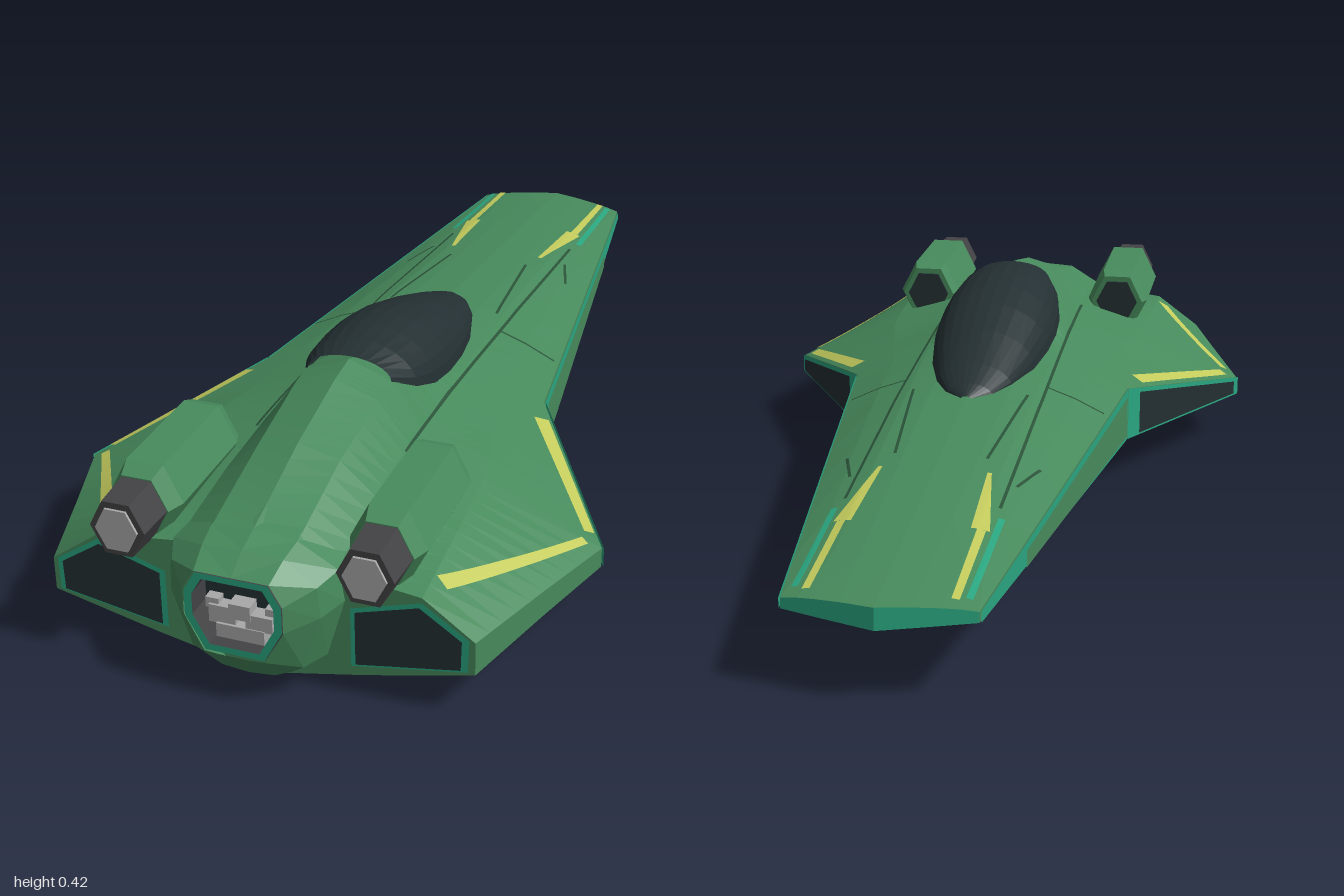
import * as THREE from 'three';

const mat = (name, color) => new THREE.MeshStandardMaterial({ name, color, flatShading: true, side: THREE.DoubleSide });
const M = {
  green: mat('hull green', 0x478a5c), glass: mat('dark glass', 0x243033), teal: mat('teal trim', 0x2aa680),
  yellow: mat('yellow stripe', 0xc3cb5c), dark: mat('dark metal', 0x434345), light: mat('light metal', 0xa9a9a9),
  seam: mat('panel seam', 0x2a5238),
};
const lerp = THREE.MathUtils.lerp;

// Half cross-sections of the hull: top centre, out to the rim, back to the keel
const HULL = [
  { z: -1, p: [[0, .182], [.06, .181], [.11, .178], [.14, .175], [.17, .17], [.17, .15], [.09, .145], [0, .14]] },
  { z: -.15, p: [[0, .275], [.08, .27], [.13, .262], [.2, .237], [.265, .203], [.265, .1135], [.13, .065], [0, .045]] },
  { z: .15, p: [[0, .3], [.08, .295], [.14, .28], [.22, .25], [.3, .215], [.3, .1], [.15, .045], [0, .022]] },
  { z: .3, p: [[0, .36], [.12, .315], [.15, .285], [.25, .245], [.389, .185], [.389, .1], [.2, .05], [0, .012]] },
  { z: .45, p: [[0, .408], [.09, .372], [.145, .29], [.28, .245], [.478, .154], [.478, .1], [.26, .055], [0, .002]] },
  { z: .52, p: [[0, .4], [.085, .37], [.145, .29], [.29, .243], [.52, .14], [.52, .1], [.28, .055], [0, 0]] },
  { z: .7, p: [[0, .362], [.08, .34], [.145, .28], [.3, .238], [.462, .148], [.462, .096], [.25, .048], [0, 0]] },
  { z: .9, p: [[0, .3], [.08, .29], [.15, .245], [.305, .226], [.4, .156], [.4, .09], [.2, .042], [0, 0]] },
];
const noseBend = x => .04 * x / .17;

function mesh(name, geo, material, parent) {
  const m = new THREE.Mesh(geo, material);
  m.name = name;
  parent.add(m);
  return m;
}

// Surface from a grid of points
function grid(rows) {
  const n = rows[0].length, index = [];
  for (let i = 0; i < rows.length - 1; i++)
    for (let j = 0; j < n - 1; j++) {
      const a = i * n + j, b = a + n;
      index.push(a, b, a + 1, a + 1, b, b + 1);
    }
  const g = new THREE.BufferGeometry();
  g.setAttribute('position', new THREE.Float32BufferAttribute(rows.flat(2), 3));
  g.setIndex(index);
  g.computeVertexNormals();
  return g;
}

// Skin through sections, with extra rows between them
function loft(sections, steps = 4, bend = () => 0) {
  const ends = sections.map((s, i) => s.p.map(([x, y]) => [x, y, s.z + (i ? 0 : bend(x))]));
  const rows = [ends[0]];
  for (let i = 1; i < ends.length; i++)
    for (let k = 1; k <= steps; k++)
      rows.push(ends[i].map((q, j) => q.map((v, c) => lerp(ends[i - 1][j][c], v, k / steps))));
  return grid(rows);
}

// Height of the hull skin at a point, above or below
function hullY(x, z, below) {
  let i = 0;
  while (i < HULL.length - 2 && z > HULL[i + 1].z) i++;
  const A = HULL[i], B = HULL[i + 1], t = (z - A.z) / (B.z - A.z);
  let p = A.p.map((q, j) => [lerp(q[0], B.p[j][0], t), lerp(q[1], B.p[j][1], t)]);
  p = below ? p.slice(5).reverse() : p.slice(0, 5);
  let k = 0;
  while (k < p.length - 2 && x > p[k + 1][0]) k++;
  const u = Math.min(1, (x - p[k][0]) / (p[k + 1][0] - p[k][0]));
  return lerp(p[k][1], p[k + 1][1], u);
}

// Painted band lying on the hull between two [x, z] points
function band(name, material, parent, a, b, w0, w1 = w0, below = false, lift = .005) {
  const dx = b[0] - a[0], dz = b[1] - a[1], l = Math.hypot(dx, dz), rows = [];
  for (let i = 0; i <= 24; i++) {
    const t = i / 24, w = lerp(w0, w1, t), row = [];
    for (let k = -2; k <= 2; k++) {
      const x = a[0] + dx * t + dz / l * w * k / 4, z = a[1] + dz * t - dx / l * w * k / 4;
      row.push([x, hullY(x, z, below) + (below ? -lift : lift), z]);
    }
    rows.push(row);
  }
  mesh(name, grid(rows), material, parent);
}

// Flat quad pushed outward along +x
const quad = (name, material, parent, c, lift) =>
  mesh(name, grid([[c[0], c[1]], [c[3], c[2]]].map(r => r.map(([x, y, z]) => [x + lift, y, z]))), material, parent);

const shape = pts => new THREE.Shape(pts.map(p => new THREE.Vector2(...p)));
function flat(name, pts, z, material, parent) {
  return mesh(name, new THREE.ShapeGeometry(shape(pts)).translate(0, 0, z), material, parent);
}
const shrink = (pts, cx, cy, s) => pts.map(([x, y]) => [cx + (x - cx) * s, cy + (y - cy) * s]);

// Hexagonal section along z, flat side up
function hex(name, rBack, rFront, z0, z1, material, parent) {
  const g = new THREE.CylinderGeometry(rBack, rFront, z1 - z0, 6, 1, false, Math.PI / 6);
  g.rotateX(Math.PI / 2).scale(1, 1.15, 1).translate(0, 0, (z0 + z1) / 2);
  return mesh(name, g, material, parent);
}

function buildSide() {
  const g = new THREE.Group();
  g.name = 'hullSide';
  mesh('hullSkin', loft(HULL, 5, noseBend), M.green, g);
  flat('hullBack', HULL.at(-1).p, .9, M.green, g);
  const nose = flat('noseEdge', HULL[0].p, -1, M.teal, g).geometry.attributes.position;
  for (let i = 0; i < nose.count; i++) nose.setZ(i, -1 + noseBend(nose.getX(i)));

  // Rim panels with teal frames
  quad('frontRimFrame', M.teal, g, [[.3, .215, .15], [.3, .1, .15], [.17, .15, -.96], [.17, .17, -.96]], .003);
  quad('frontRimPanel', M.green, g, [[.298, .202, .13], [.298, .112, .13], [.202, .139, -.69], [.202, .171, -.69]], .006);
  quad('sideWindowFrame', M.teal, g, [[.52, .14, .52], [.52, .1, .52], [.3, .1, .15], [.3, .215, .15]], .004);
  quad('sideWindow', M.glass, g, [[.508, .135, .5], [.508, .106, .5], [.318, .106, .18], [.318, .2, .18]], .008);

  // Rear windows
  const win = [[.175, .058], [.388, .095], [.39, .16], [.305, .218], [.175, .178]];
  flat('rearWindowFrame', win, .903, M.teal, g);
  flat('rearWindow', shrink(win, .27, .135, .9), .907, M.glass, g);

  // Painted stripes and seams
  band('wingFrontStripe', M.yellow, g, [.49, .5], [.315, .22], .02, .03);
  band('wingRearStripe', M.yellow, g, [.49, .53], [.32, .84], .016, .026);
  band('noseStripe', M.yellow, g, [.128, -.95], [.128, -.7], .014, .016);
  band('noseStripeWedge', M.yellow, g, [.126, -.7], [.105, -.48], .034, .008);
  band('noseTrim', M.teal, g, [.15, -.94], [.155, -.64], .012);
  for (const [a, b] of [[[.145, -.6], [.15, -.1]], [[.15, -.1], [.15, .55]], [[.15, -.03], [.27, -.03]],
    [[.09, -.42], [.12, -.1]], [[.16, -.5], [.19, -.4]]])
    band('panelSeam', M.seam, g, a, b, .006, .006, false, .003);

  // Underside
  band('bellyWindow', M.glass, g, [.036, -.63], [.036, -.38], .07, .07, true);
  for (const [a, b] of [[[.1, -.05], [.14, .12]], [[.14, .12], [.26, .14]], [[.14, .12], [.1, .34]]])
    band('bellyTrim', M.teal, g, a, b, .009, .009, true);

  // Canopy: [z, half width, base, top]
  const canopy = [[-.155, .012, .27, .278], [-.12, .05, .268, .295], [-.06, .08, .272, .319], [.05, .11, .28, .36],
    [.15, .126, .292, .392], [.24, .131, .302, .413], [.32, .128, .315, .421], [.39, .115, .34, .421], [.45, .085, .374, .414]];
  mesh('canopy', loft(canopy.map(([z, w, b, t]) => ({
    z, p: Array.from({ length: 8 }, (_, k) => {
      const a = k / 7 * Math.PI / 2;
      return [w * Math.sin(a), lerp(b, t, Math.cos(a))];
    }),
  })), 1), M.glass, g);

  // Tail housing
  mesh('tailHousing', loft([
    { z: .78, p: [[0, .335], [.07, .315], [.14, .26], [.15, .2], [.13, .08], [.06, .02], [0, 0]] },
    { z: .9, p: [[0, .302], [.08, .292], [.155, .25], [.165, .19], [.13, .07], [.06, .015], [0, 0]] },
    { z: .95, p: [[0, .288], [.075, .283], [.135, .24], [.14, .18], [.105, .07], [.05, .04], [0, .035]] },
    { z: 1, p: [[0, .262], [.069, .262], [.092, .222], [.092, .17], [.057, .102], [.03, .1], [0, .1]] },
  ], 1), M.green, g);

  // Engine pod
  const pod = new THREE.Group();
  pod.name = 'enginePod';
  pod.position.set(.228, .29, 0);
  g.add(pod);
  hex('podNose', .07, .06, .595, .62, M.green, pod);
  hex('podBody', .071, .07, .62, .85, M.green, pod);
  hex('podCollar', .058, .071, .85, .885, M.green, pod);
  hex('podIntake', .048, .048, .59, .6, M.glass, pod);
  hex('nozzle', .052, .056, .88, .965, M.dark, pod);
  hex('nozzleCore', .04, .04, .95, .97, M.light, pod);
  return g;
}

export function createModel() {
  const model = new THREE.Group();
  model.name = 'spacecraft';
  const left = buildSide(), right = left.clone();
  right.scale.x = -1;
  model.add(left, right);

  // Rear engine bay: framed recess with machinery
  const half = [[.055, .105], [.09, .17], [.09, .22], [.067, .26]];
  const ring = [...half, ...half.map(([x, y]) => [-x, y]).reverse()];
  const frame = shape(ring);
  frame.holes.push(new THREE.Path(shrink(ring, 0, .185, .84).reverse().map(p => new THREE.Vector2(...p))));
  mesh('bayFrame', new THREE.ExtrudeGeometry(frame, { depth: .06, bevelEnabled: false }).translate(0, 0, .94), [M.teal, M.dark], model);
  flat('bayBack', ring, .945, M.glass, model);
  for (const [x, y, w, h, d] of [[0, .13, .09, .03, .03], [-.035, .16, .05, .035, .025], [.035, .158, .05, .03, .028],
    [0, .175, .04, .03, .03], [-.055, .178, .025, .02, .02], [.055, .175, .022, .024, .02]])
    mesh('bayMachinery', new THREE.BoxGeometry(w, h, d).translate(x, y, .945 + d / 2), M.light, model);
  return model;
}
